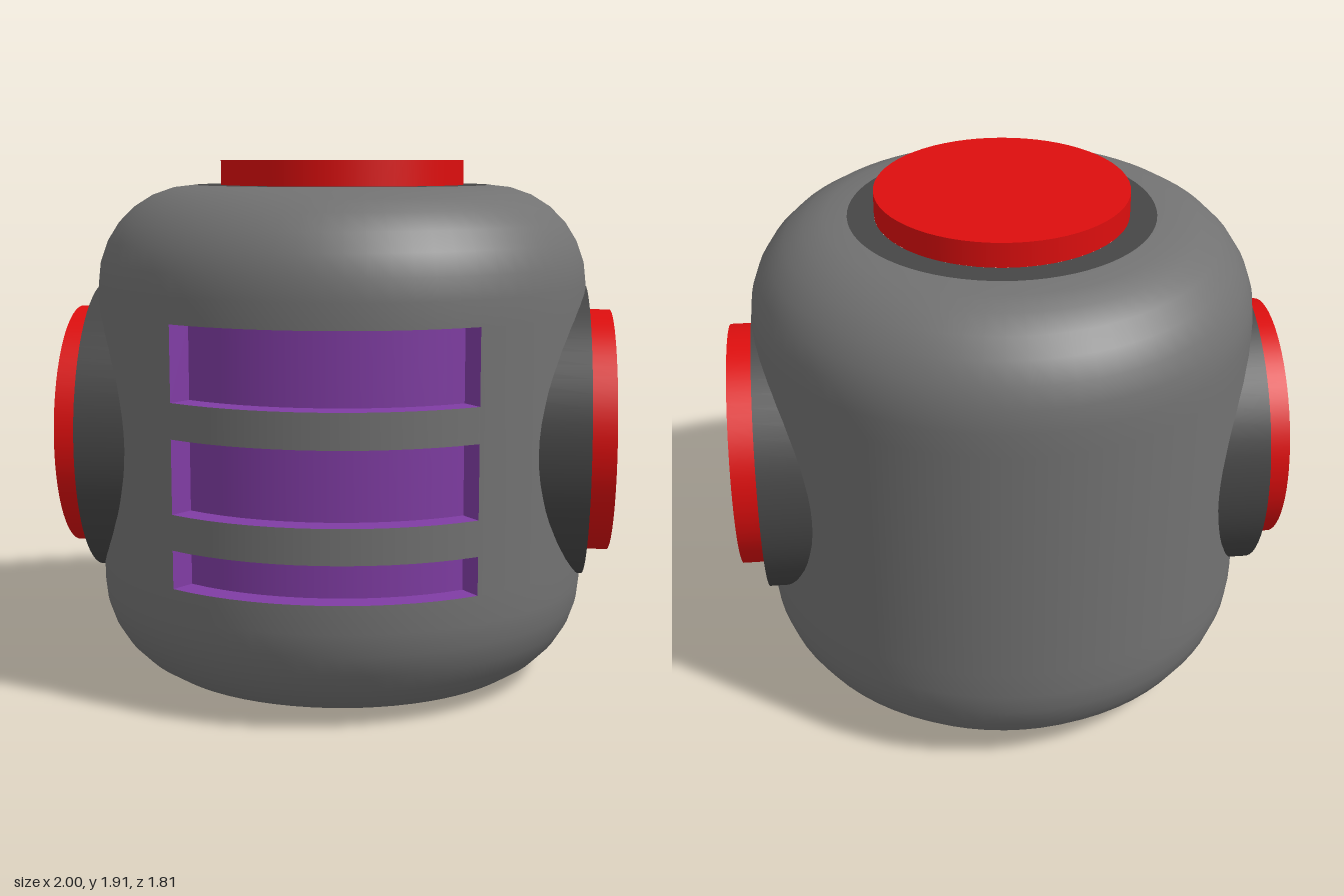
import * as THREE from 'three';

const R = 0.905, FLOOR = 0.815, H = 1.82, FILLET = 0.36, FLAT = R - FILLET;
const DISC = 0.45, DEPTH = 0.09, DEG = Math.PI / 180, SLOT = 35 * DEG;
const SLOTS = [[0.46, 0.595], [0.72, 0.98], [1.105, 1.37]];

const mat = (name, color) => Object.assign(new THREE.MeshStandardMaterial({ color }), { name });

export function createModel() {
  const shell = mat('shellGrey', 0x727272);
  const dark = mat('darkGrey', 0x464646);
  const red = mat('red', 0xdd0e0e);
  const purple = mat('purple', 0x803ca4);
  const model = new THREE.Group();
  model.name = 'cylinderBlock';

  const add = (name, geometry, material, parent = model) => {
    const mesh = new THREE.Mesh(geometry, material);
    mesh.name = name;
    parent.add(mesh);
    return mesh;
  };
  // Revolve a profile; the surface faces outward where the profile rises
  const revolve = (name, pts, material, start = 0, sweep = 2 * Math.PI, parent = model) =>
    add(name, new THREE.LatheGeometry(pts.map(p => new THREE.Vector2(...p)),
      Math.round(sweep / (5 * DEG)), start, sweep), material, parent);

  // Rounded ends of the body, reaching to the slot zone
  const low = SLOTS[0][0], high = SLOTS[2][1], steps = 7;
  const bottom = [], top = [];
  for (let i = 0; i <= steps; i++) {
    const a = (i / steps) * Math.PI / 2;
    bottom.push([FLAT + FILLET * Math.sin(a), FILLET * (1 - Math.cos(a))]);
    top.push([FLAT + FILLET * Math.cos(a), H - FILLET * (1 - Math.sin(a))]);
  }
  revolve('bodyBottom', [...bottom, [R, low]], shell);
  revolve('bodyTop', [[R, high], ...top], shell);
  revolve('bodyBase', [[DISC, 0], [FLAT, 0]], shell);
  revolve('bodyWall', [[R, low], [R, high]], shell, SLOT, 2 * Math.PI - 2 * SLOT);

  // Recessed slots on the front with wall bands between them
  SLOTS.forEach(([y0, y1], i) => {
    const slot = new THREE.Group();
    slot.name = 'frontSlot' + (i + 1);
    model.add(slot);
    const face = (name, a, b) => revolve(name, [a, b], purple, -SLOT, 2 * SLOT, slot);
    face('slotLedge', [R, y0], [FLOOR, y0]);
    face('slotBack', [FLOOR, y0], [FLOOR, y1]);
    face('slotCeiling', [FLOOR, y1], [R, y1]);
    for (const s of [-1, 1]) {
      const a = s * SLOT, r = (R + FLOOR) / 2;
      const end = add('slotEnd', new THREE.PlaneGeometry(R - FLOOR, y1 - y0), purple, slot);
      end.position.set(r * Math.sin(a), (y0 + y1) / 2, r * Math.cos(a));
      end.rotation.y = a - s * Math.PI / 2;
    }
    if (i < 2) revolve('bodyBand', [[R, y1], [R, SLOTS[i + 1][0]]], shell, -SLOT, 2 * SLOT);
  });

  // Raised top disc in its dark ring
  revolve('topRing', [[FLAT, H], [DISC, H]], dark);
  add('topDisc', new THREE.CylinderGeometry(DISC, DISC, DEPTH, 64), red).position.y = H + DEPTH / 2;

  // Matching round socket underneath
  revolve('socketCeiling', [[0, DEPTH], [DISC, DEPTH]], red);
  revolve('socketWall', [[DISC, DEPTH], [DISC, 0]], red);

  // Side hubs with raised discs
  for (const s of [-1, 1]) {
    const side = new THREE.Group();
    side.name = s > 0 ? 'leftConnector' : 'rightConnector';
    side.position.y = H / 2;
    side.rotation.z = -s * Math.PI / 2;
    add('hub', new THREE.CylinderGeometry(0.542, 0.542, 0.356, 64), dark, side).position.y = 0.728;
    add('sideDisc', new THREE.CylinderGeometry(DISC, DISC, 0.1, 64), red, side).position.y = 0.95;
    model.add(side);
  }
  return model;
}
